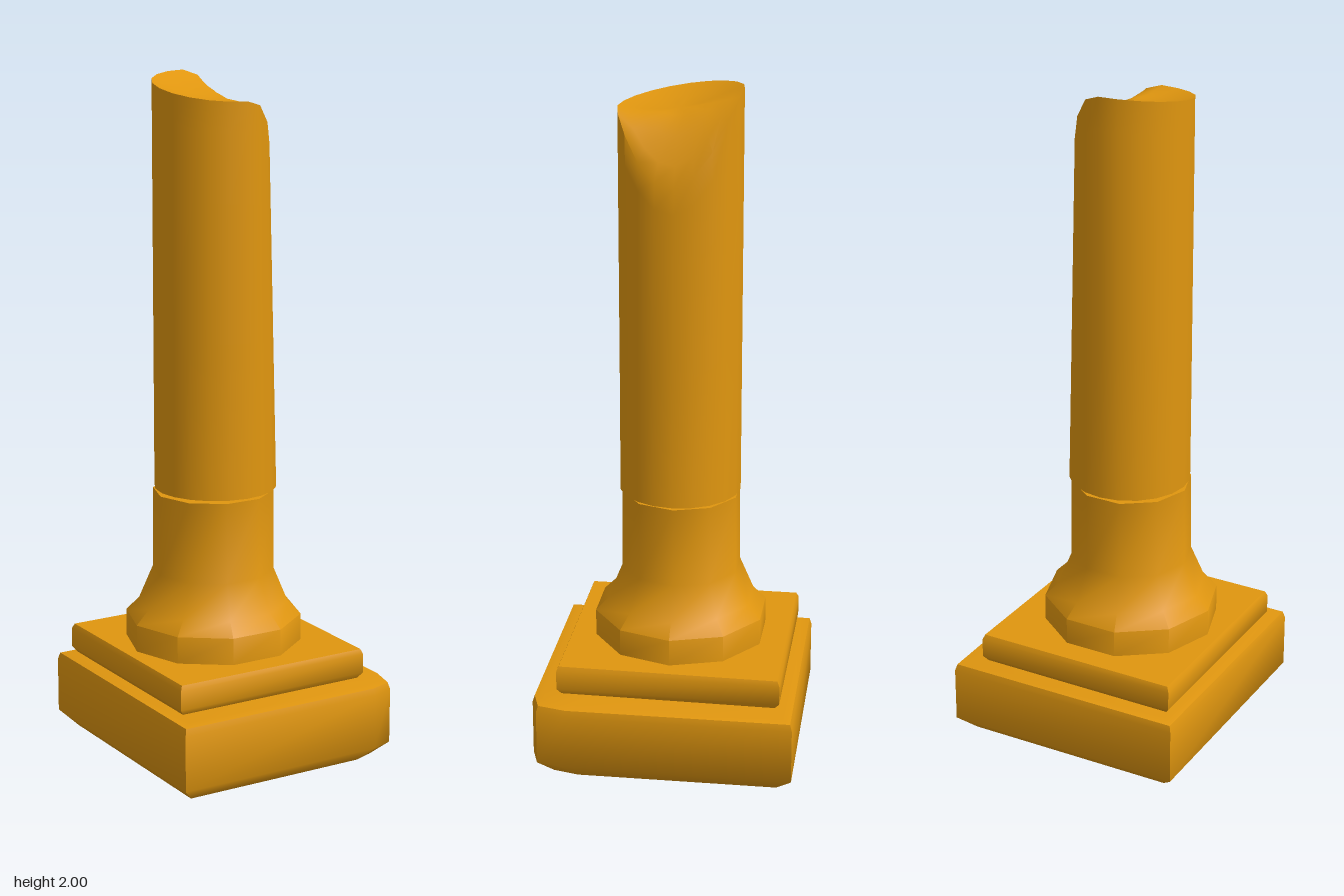
import * as THREE from 'three';
import { toCreasedNormals } from 'three/addons/utils/BufferGeometryUtils.js';

const material = new THREE.MeshStandardMaterial({ color: 0xe0960f });

// Skins a stack of equal-length rings of [x, y, z] points, closing both ends.
function loft(rings, crease) {
  const n = rings[0].length;
  const pos = [];
  const idx = [];
  const centre = (ring) => [0, 1, 2].map((k) => ring.reduce((s, p) => s + p[k], 0) / n);
  rings.forEach((ring) => ring.forEach((p) => pos.push(...p)));
  pos.push(...centre(rings[0]), ...centre(rings[rings.length - 1]));
  const bottom = n * rings.length;
  const last = bottom - n;
  for (let i = 0; i < n; i++) {
    const j = (i + 1) % n;
    for (let r = 0; r < rings.length - 1; r++) {
      const a = r * n, b = a + n;
      idx.push(a + i, b + i, a + j, a + j, b + i, b + j);
    }
    idx.push(bottom, i, j, bottom + 1, last + j, last + i);
  }
  const geo = new THREE.BufferGeometry();
  geo.setAttribute('position', new THREE.Float32BufferAttribute(pos, 3));
  geo.setIndex(idx);
  return toCreasedNormals(geo, crease);
}

function part(name, geo) {
  const mesh = new THREE.Mesh(geo, material);
  mesh.name = name;
  return mesh;
}

// Slab from a plan outline and [height, scale] levels.
const slab = (outline, levels) =>
  loft(levels.map(([y, s]) => outline.map(([x, z]) => [x * s, y, z * s])), 0.95);

// Horizontal circle of points around the column axis.
function circle(n, radius, cx, cz, y) {
  return Array.from({ length: n }, (_, i) => {
    const a = (i / n) * Math.PI * 2;
    return [cx + Math.cos(a) * radius, y, cz + Math.sin(a) * radius];
  });
}

// Height of the broken top: leans forward, falls away to the left, hollow in the middle.
function breakHeight(x, z, s) {
  const u = Math.max(0, x + 0.02);
  return 1.97 - 0.17 * z - 12.5 * u * u - 0.03 * (1 - s * s);
}

function brokenShaft() {
  const n = 20, r = 0.18, cx = -0.03, cz = -0.01, y0 = 0.8;
  // The left flank is worn, so it tapers inward with height.
  const wear = ([x, y, z], t) => [x > cx ? x - 0.195 * (x - cx) * t : x, y, z];
  const rings = [];
  for (const t of [0, 0.4, 0.75, 0.92, 1]) {
    rings.push(circle(n, r, cx, cz, y0).map((p) => {
      const [x, , z] = wear(p, t);
      const [tx, , tz] = wear(p, 1);
      return [x, y0 + t * (breakHeight(tx, tz, 1) - y0), z];
    }));
  }
  // Broken surface
  for (const s of [0.85, 0.6, 0.3]) {
    rings.push(circle(n, r * s, cx, cz, 0).map((p) => {
      const [x, , z] = wear(p, 1);
      return [x, breakHeight(x, z, s), z];
    }));
  }
  return loft(rings, 0.9);
}

export function createModel() {
  const group = new THREE.Group();
  group.name = 'brokenColumn';

  // Plinth with one chipped corner
  group.add(part('plinth', slab(
    [[0.36, -0.39], [0.367, 0.28], [0.347, 0.365], [0.28, 0.388], [-0.365, 0.388], [-0.37, -0.382]],
    [[0, 0.88], [0.045, 1], [0.21, 1], [0.23, 0.985], [0.235, 0.92]],
  )));

  // Smaller step
  group.add(part('step', slab(
    [[0.288, -0.345], [0.283, 0.315], [-0.337, 0.315], [-0.341, -0.342]],
    [[0.24, 0.96], [0.258, 1], [0.315, 1], [0.33, 0.98]],
  )));

  // Flared ten-sided column foot
  const profile = [[0.33, 0.261], [0.41, 0.261], [0.45, 0.222], [0.55, 0.18], [0.79, 0.178]];
  group.add(part('columnFoot',
    loft(profile.map(([y, r]) => circle(10, r, -0.036, -0.012, y)), 0.9)));

  group.add(part('columnShaft', brokenShaft()));
  return group;
}
